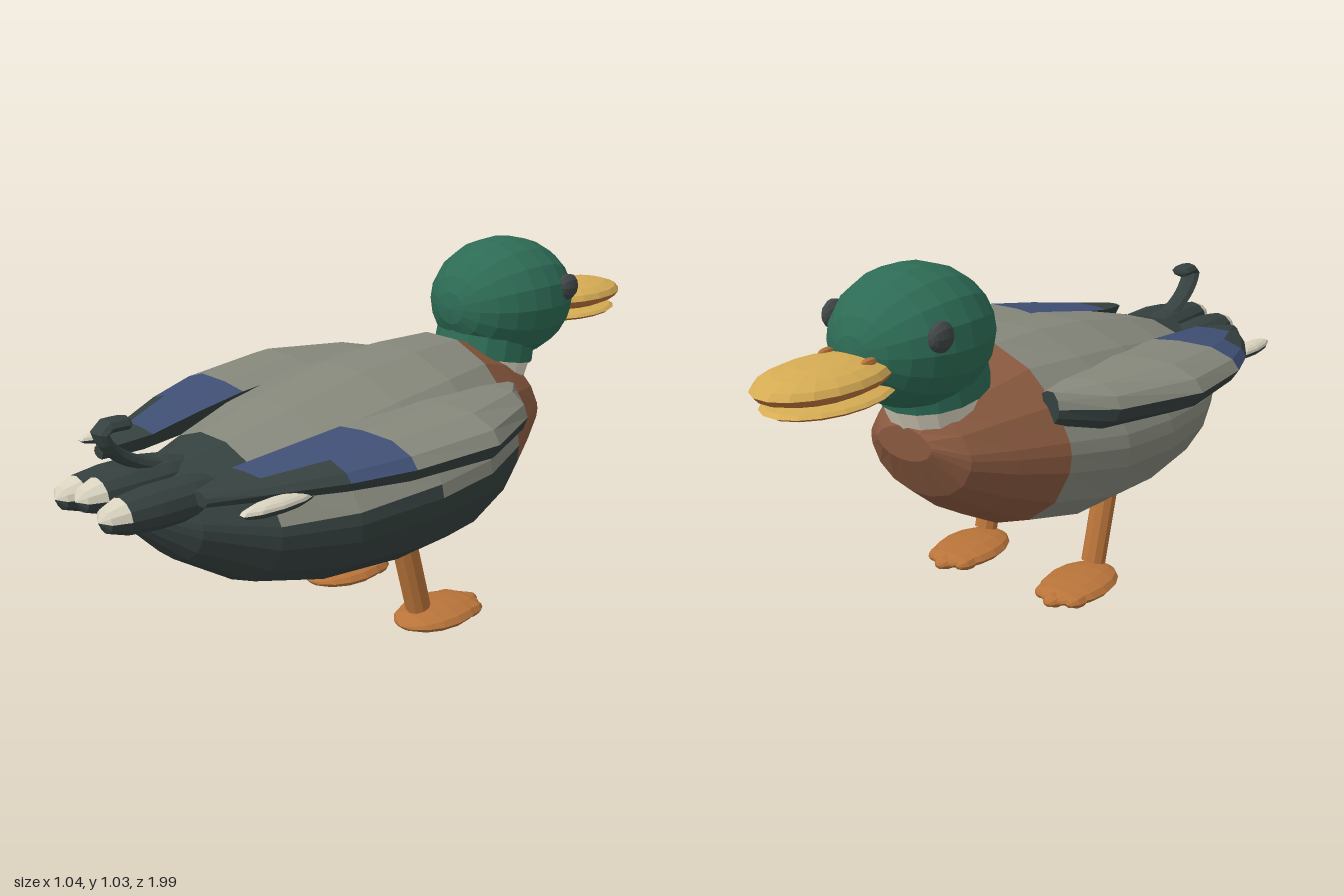
import * as THREE from 'three';

const mat = (name, color) => {
  const m = new THREE.MeshStandardMaterial({ color, flatShading: true });
  m.name = name;
  return m;
};

export function createModel() {
  const root = new THREE.Group();
  root.name = 'duck';
  const green = mat('headGreen', 0x2d6b55), grey = mat('featherGrey', 0x85877b);
  const dark = mat('featherDark', 0x35413f), brown = mat('breastBrown', 0x89593f);
  const yellow = mat('billYellow', 0xd6ac54), orange = mat('legOrange', 0xb9743a);
  const blue = mat('wingBlue', 0x3f4f74), cream = mat('creamWhite', 0xd9d3bf);
  const eyeBlack = mat('eyeBlack', 0x414646);

  const add = (name, geo, material) => {
    const m = new THREE.Mesh(geo, material);
    m.name = name;
    root.add(m);
    return m;
  };

  // Ellipsoid with its poles along z
  const blob = (name, material, pos, size, w = 12, h = 8) => {
    const g = new THREE.SphereGeometry(1, w, h).rotateX(Math.PI / 2);
    add(name, g.scale(...size).translate(...pos), material);
  };

  // Flattened ellipsoid with separate upper and lower colours
  const shell = (name, upper, lower, pos, size, w = 18) => {
    [[upper, 0, 'Top'], [lower, Math.PI / 2, 'Underside']].forEach(([m, t, label]) => {
      const g = new THREE.SphereGeometry(1, w, 4, 0, Math.PI * 2, t, Math.PI / 2);
      add(name + label, g.scale(...size).translate(...pos), m);
    });
  };

  // Skin over closed rings (counter-clockwise seen from +z, ordered towards +z)
  const loft = (name, rings, mats, pick) => {
    const tris = mats.map(() => []), n = rings[0].length;
    const face = (k, ...pts) => pts.forEach((p) => tris[k].push(...p));
    for (let i = 0; i < rings.length - 1; i++)
      for (let j = 0; j < n; j++) {
        const a = rings[i][j], b = rings[i][(j + 1) % n];
        const c = rings[i + 1][(j + 1) % n], d = rings[i + 1][j];
        face(pick(i, j), a, b, c, a, c, d);
      }
    const first = rings[0], last = rings[rings.length - 1];
    for (let j = 1; j < n - 1; j++) {
      face(pick(0, 0), first[0], first[j + 1], first[j]);
      face(pick(rings.length - 2, 0), last[0], last[j], last[j + 1]);
    }
    const g = new THREE.BufferGeometry();
    g.setAttribute('position', new THREE.Float32BufferAttribute(tris.flat(), 3));
    let start = 0;
    tris.forEach((t, k) => {
      g.addGroup(start, t.length / 3, k);
      start += t.length / 3;
    });
    g.computeVertexNormals();
    add(name, g, mats);
  };

  // Body: z, centre height, half width, half height
  const sections = [
    [-0.53, 0.575, 0.09, 0.045], [-0.47, 0.545, 0.17, 0.13], [-0.36, 0.53, 0.235, 0.2],
    [-0.23, 0.52, 0.31, 0.26], [-0.05, 0.5, 0.375, 0.28], [0.15, 0.488, 0.39, 0.272],
    [0.4, 0.472, 0.355, 0.238], [0.59, 0.47, 0.275, 0.19], [0.75, 0.5, 0.17, 0.12],
    [0.84, 0.52, 0.05, 0.05],
  ];
  const angles = [0, 180];
  for (let a = 11.25; a < 360; a += 22.5) angles.push(a);
  angles.sort((a, b) => a - b);
  const bodyRings = sections.map(([z, cy, rx, ry]) => angles.map((deg) => {
    const a = THREE.MathUtils.degToRad(deg), s = Math.sin(a);
    return [Math.cos(a) * rx * 1.01, cy + (s > 0 ? s ** 1.25 : s) * ry * 1.02, z];
  }));
  loft('body', bodyRings, [brown, grey, dark], (i, j) => {
    const a = (angles[j] + (angles[j + 1] ?? 360)) / 2;
    if (i < 3) return 0;
    if (i >= 7) return i === 7 && a > 170 && a < 210 ? 1 : 2;
    return a > (i < 5 ? 0 : 10) && a < (i < 5 ? 230 : 210) ? 1 : 2;
  });

  // Wings: z, inner x, outer x, top, edge height, bottom
  const wing = [
    [-0.25, 0.23, 0.285, 0.69, 0.645, 0.6], [-0.15, 0.23, 0.41, 0.705, 0.645, 0.58],
    [0.08, 0.225, 0.52, 0.712, 0.65, 0.575], [0.34, 0.205, 0.49, 0.692, 0.64, 0.578],
    [0.5, 0.19, 0.43, 0.67, 0.63, 0.583], [0.66, 0.17, 0.34, 0.645, 0.62, 0.585],
    [0.79, 0.2, 0.25, 0.625, 0.605, 0.59],
  ];
  for (const s of [1, -1]) {
    const side = s > 0 ? 'left' : 'right';
    const rings = wing.map(([z, a, b, top, mid, bot]) => {
      const ring = [[1, 0, top], [0.92, 0.55, top], [0.68, 1, top], [0.3, 1, top],
        [0, 0.8, top], [0.3, 1, bot], [0.68, 1, bot], [0.92, 0.55, bot]]
        .map(([u, v, y]) => [s * (a + (b - a) * u), mid + (y - mid) * v, z]);
      return s > 0 ? ring : ring.reverse();
    });
    loft(side + 'Wing', rings, [grey, blue, dark], (i, j) => {
      const f = s > 0 ? j : (14 - j) % 8;
      if (f > 3 || i > 4) return 2;
      if (i < 3) return 0;
      return i === 4 && f < 2 ? 2 : 1;
    });
    shell(side + 'WingFeather', cream, dark, [s * 0.357, 0.6, 0.665], [0.03, 0.02, 0.11], 10);

    // Eye and nostril
    blob(side + 'Eye', eyeBlack, [s * 0.175, 0.9, -0.58], [0.025, 0.04, 0.04], 10, 8);
    blob(side + 'Nostril', orange, [s * 0.07, 0.851, -0.72], [0.012, 0.014, 0.025], 8, 6);

    // Leg, webbed foot and toes
    const leg = add(side + 'Leg', new THREE.CylinderGeometry(0.036, 0.036, 0.21, 10), orange);
    leg.position.set(s * 0.2, 0.175, 0.078);
    leg.rotation.x = 0.26;
    blob(side + 'Foot', orange, [s * 0.2, 0.033, -0.025], [0.1, 0.031, 0.145], 12, 8);
    for (const t of [-1, 0, 1])
      blob(side + 'Toe', orange, [s * 0.2 + t * 0.05, 0.03, t ? -0.105 : -0.135],
        [0.033, 0.022, 0.048], 8, 6);
  }

  // Head, neck and collar
  blob('head', green, [0, 0.855, -0.485], [0.2, 0.183, 0.228], 18, 12);
  const neck = add('neck', new THREE.CylinderGeometry(0.145, 0.15, 0.13, 16), green);
  neck.position.set(0, 0.757, -0.42);
  neck.rotation.x = -0.2;
  const collar = add('collar', new THREE.CylinderGeometry(0.138, 0.125, 0.1, 16), cream);
  collar.position.set(0, 0.665, -0.41);
  collar.rotation.x = -0.25;

  // Bill
  shell('upperBill', yellow, orange, [0, 0.822, -0.8], [0.13, 0.042, 0.2]);
  shell('lowerBill', yellow, orange, [0, 0.773, -0.785], [0.127, 0.02, 0.19]);

  // Blunt tail feathers, their tips pale on the upper side
  const shaft = [[0, 0.6], [0.75, 0.65], [1, 0.74], [1, 0.85], [0.84, 0.93]];
  const tip = [[0.84, 0.93], [0.55, 0.975], [0, 0.992]];
  for (const t of [-1, 0, 1])
    [['tailFeather', shaft, dark, 0, 2], ['tailTip', tip, cream, 0.5, 1],
      ['tailTipUnderside', tip, dark, 1.5, 1]].forEach(([name, profile, m, from, span]) => {
      const pts = profile.map(([r, z]) => new THREE.Vector2(r, z));
      const g = new THREE.LatheGeometry(pts, span * 6, from * Math.PI, span * Math.PI);
      g.rotateX(Math.PI / 2).scale(0.063, 0.055, 1).translate(t * 0.1, t ? 0.567 : 0.59, 0);
      add(name, g, m);
    });

  // Curled tail feather
  const curl = new THREE.CatmullRomCurve3([
    [0.74, 0.62], [0.82, 0.65], [0.885, 0.695], [0.913, 0.745], [0.9, 0.757], [0.845, 0.757],
  ].map(([z, y]) => new THREE.Vector3(0, y, z)));
  add('tailCurl', new THREE.TubeGeometry(curl, 12, 0.018, 8).scale(1.8, 1, 1), dark);
  blob('tailCurlEnd', dark, [0, 0.757, 0.845], [0.032, 0.018, 0.012], 8, 6);

  return root;
}
